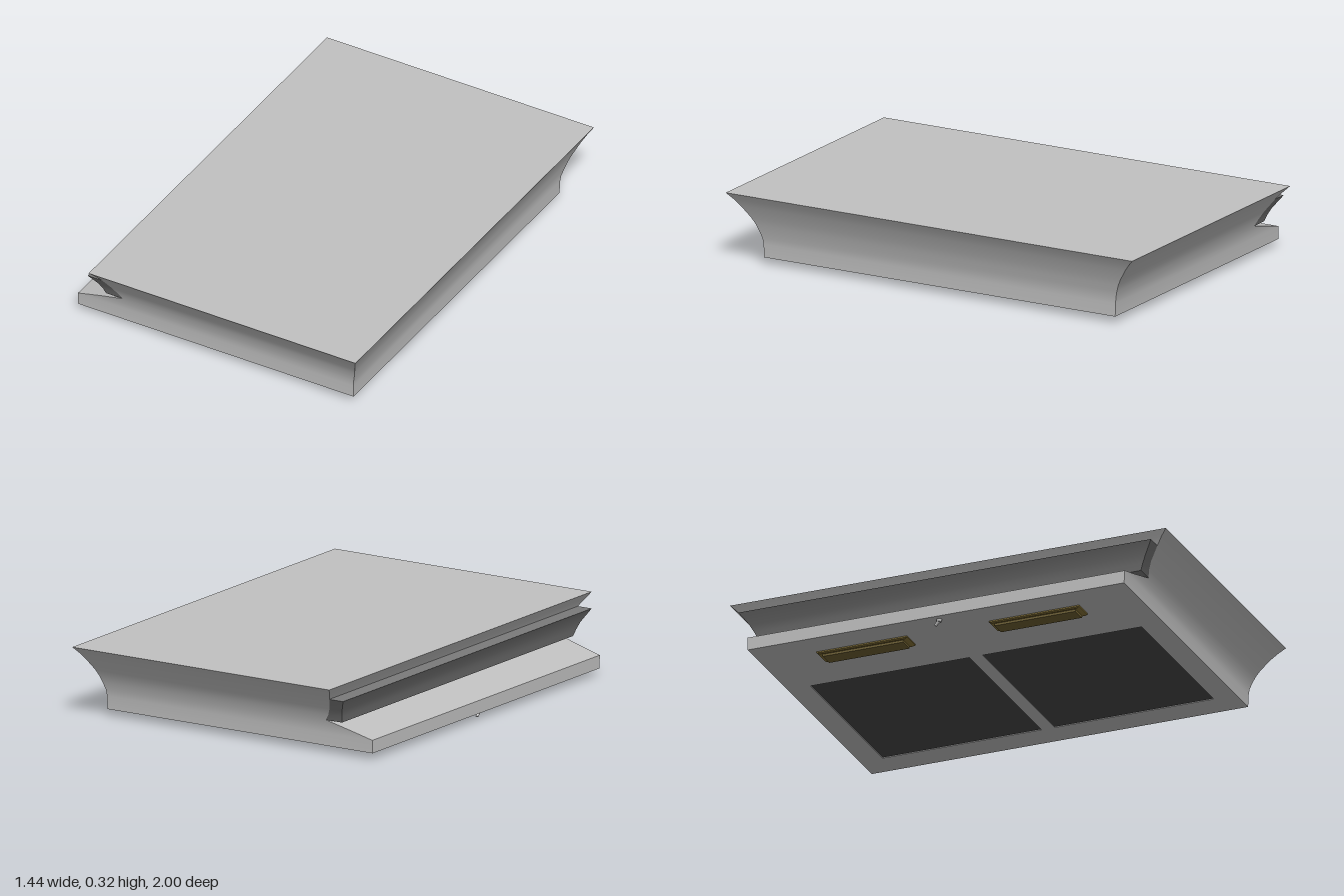
import * as THREE from 'three';
import { toCreasedNormals } from 'three/addons/utils/BufferGeometryUtils.js';

const mat = (name, color) => {
  const m = new THREE.MeshStandardMaterial({ color });
  m.name = name;
  return m;
};

// Lofts rectangles from bottom to top; each row is [y, xLow, xHigh, zHalf]
function loft(rows, capBottom = true) {
  const pos = [], idx = [];
  for (const [y, x0, x1, h] of rows) pos.push(x0, y, h, x1, y, h, x1, y, -h, x0, y, -h);
  for (let i = 0; i < rows.length - 1; i++) {
    for (let k = 0; k < 4; k++) {
      const a = i * 4 + k, b = i * 4 + (k + 1) % 4;
      idx.push(a, b, b + 4, a, b + 4, a + 4);
    }
  }
  const t = (rows.length - 1) * 4;
  idx.push(t, t + 1, t + 2, t, t + 2, t + 3);
  if (capBottom) idx.push(0, 2, 1, 0, 3, 2);
  const g = new THREE.BufferGeometry();
  g.setAttribute('position', new THREE.Float32BufferAttribute(pos, 3));
  g.setIndex(idx);
  return toCreasedNormals(g, 0.5);
}

// Rectangle in the x/z plane, drawn as x/y for extrusion
function rect(Type, x0, x1, z0, z1) {
  const p = new Type();
  p.moveTo(x0, z0);
  p.lineTo(x1, z0);
  p.lineTo(x1, z1);
  p.lineTo(x0, z1);
  p.closePath();
  return p;
}

export function createModel() {
  const group = new THREE.Group();
  group.name = 'rangeHood';
  const steel = mat('steel', 0xc0c0c0);
  const grey = mat('darkGrey', 0x7a7a7a);
  const black = mat('filterBlack', 0x484848);
  const brass = mat('brass', 0x857236);
  const lens = mat('lampLens', 0x6e5f30);
  const add = (name, geo, material, x = 0, y = 0, z = 0) => {
    const m = new THREE.Mesh(geo, material);
    m.name = name;
    m.position.set(x, y, z);
    group.add(m);
    return m;
  };

  // Flared body with a wedge-shaped groove along one side
  add('body', loft([
    [0.03, -0.72, 0.628, 0.864],
    [0.087, -0.72, 0.629, 0.866],
    [0.115, -0.613, 0.632, 0.87],
    [0.147, -0.493, 0.641, 0.88],
    [0.175, -0.513, 0.649, 0.891],
    [0.206, -0.53, 0.66, 0.908],
    [0.26, -0.555, 0.684, 0.947],
    [0.29, -0.573, 0.7, 0.973],
    [0.317, -0.59, 0.717, 1],
  ], false), steel);

  // Rail inside the groove, following the flare at its ends
  add('grooveRail', loft([
    [0.147, -0.575, -0.493, 0.88],
    [0.175, -0.583, -0.513, 0.891],
    [0.206, -0.594, -0.53, 0.908],
    [0.26, -0.625, -0.555, 0.947],
  ]), grey);

  // Underside panel with two filter openings
  const panel = rect(THREE.Shape, -0.72, 0.628, -0.864, 0.864);
  panel.holes.push(rect(THREE.Path, -0.285, 0.5, 0.03, 0.76));
  panel.holes.push(rect(THREE.Path, -0.285, 0.5, -0.76, -0.03));
  const panelGeo = new THREE.ExtrudeGeometry(panel, { depth: 0.008, bevelEnabled: false });
  panelGeo.rotateX(Math.PI / 2);
  add('undersidePanel', panelGeo, steel, 0, 0.038, 0);

  for (const s of [1, -1]) {
    // Grease filter, slightly recessed
    add('filter', new THREE.BoxGeometry(0.785, 0.006, 0.73), black, 0.1075, 0.0365, s * 0.395);

    // Lamp: tapered frame and a lower lens
    add('lampFrame', loft([
      [0.019, -0.042, 0.042, 0.196],
      [0.024, -0.047, 0.047, 0.207],
      [0.031, -0.047, 0.047, 0.207],
    ]), brass, -0.543, 0, s * 0.395);
    add('lampLens', new THREE.BoxGeometry(0.07, 0.011, 0.37), lens, -0.543, 0.0145, s * 0.395);
  }

  // Small control lever
  add('switchBase', new THREE.CylinderGeometry(0.012, 0.01, 0.014, 16), steel, -0.685, 0.025, 0);
  const lever = add('switchLever', new THREE.CylinderGeometry(0.008, 0.006, 0.026, 16), steel, -0.685, 0.014, -0.009);
  lever.rotation.x = 0.7;
  return group;
}
